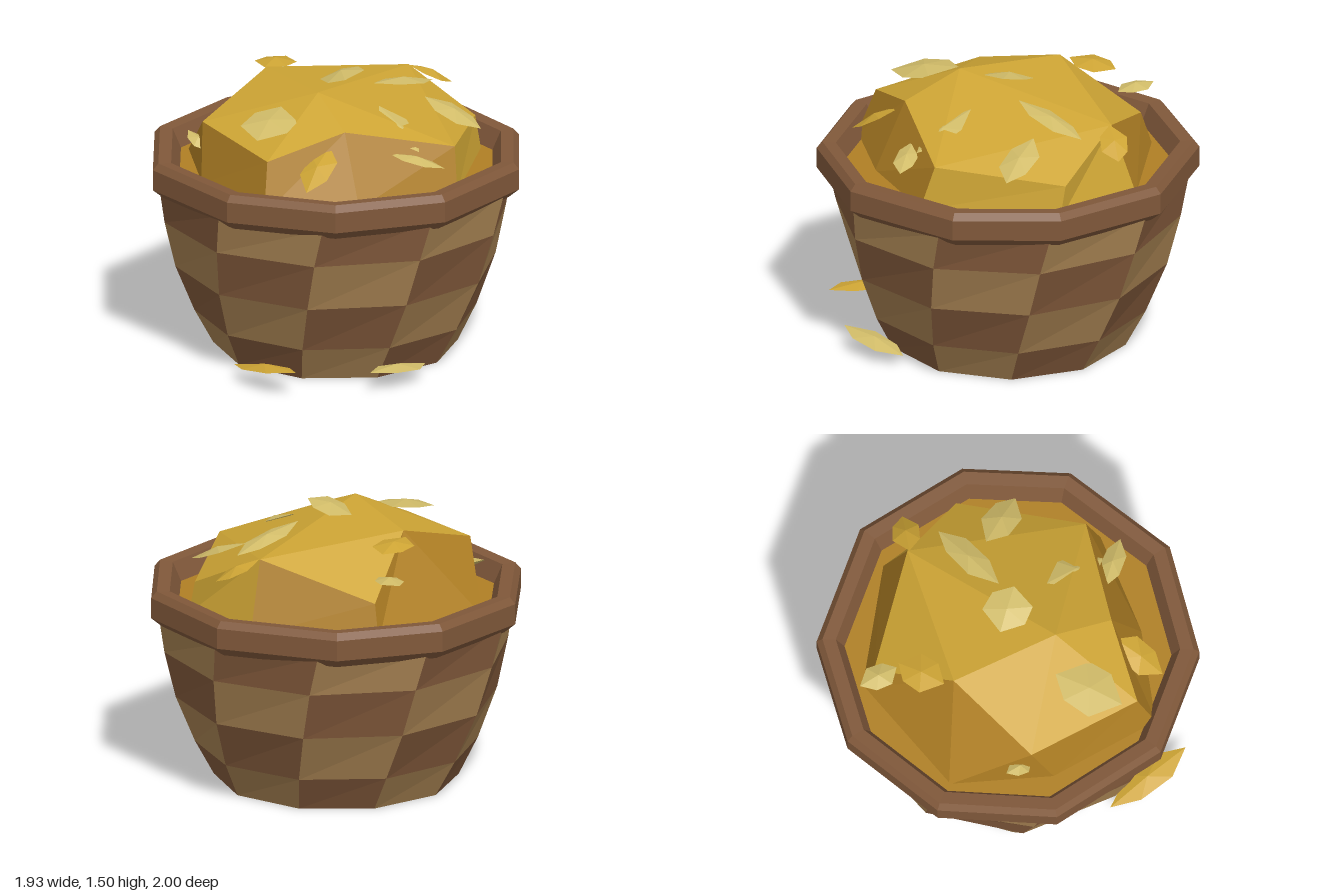
import * as THREE from 'three';

const SIDES = 10;
const paint = (name, color, flat = true) =>
  Object.assign(new THREE.MeshStandardMaterial({ color, flatShading: flat, side: THREE.DoubleSide }), { name });

// Flat-faced mesh from a list of triangles, each three [x, y, z] corners
function facets(name, tris, material) {
  const geo = new THREE.BufferGeometry();
  geo.setAttribute('position', new THREE.Float32BufferAttribute(tris.flat(2), 3));
  geo.computeVertexNormals();
  const mesh = new THREE.Mesh(geo, material);
  mesh.name = name;
  return mesh;
}

const quad = (a, b, c, d) => [[a, b, c], [a, c, d]];

// Point on a ring; the angle is in degrees from the front towards +x
function polar(r, y, deg) {
  const a = THREE.MathUtils.degToRad(deg);
  return [r * Math.sin(a), y, r * Math.cos(a)];
}

// Thin folded leaf between two tips
function leaf(name, from, to, width, material) {
  const a = new THREE.Vector3(...from), b = new THREE.Vector3(...to);
  const dir = b.clone().sub(a);
  const side = dir.clone().cross(new THREE.Vector3(0, 1, 0)).normalize();
  const up = side.clone().cross(dir).normalize();
  const at = (t, s, h = 0) =>
    a.clone().addScaledVector(dir, t).addScaledVector(side, s * width).addScaledVector(up, h).toArray();
  const outline = [at(0, 0), at(0.3, 0.45), at(0.7, 0.5), at(1, 0), at(0.75, -0.4), at(0.35, -0.5)];
  const tris = [];
  for (const h of [0.025, -0.01]) {
    const mid = at(0.5, 0, h);
    outline.forEach((p, i) => {
      const q = outline[(i + 1) % outline.length];
      tris.push(h > 0 ? [p, q, mid] : [q, p, mid]);
    });
  }
  return facets(name, tris, material);
}

export function createModel() {
  const model = new THREE.Group();
  model.name = 'basket';
  const brown = paint('darkWicker', 0x80583a);
  const tan = paint('lightWicker', 0xa37f50);
  const straw = paint('straw', 0xcda434);
  const amber = paint('deepStraw', 0xaf7f24);
  const pale = paint('paleStraw', 0xd0bb68);

  // Woven body, open below: [radius, height, twist] of each ring
  const rings = [[0.64, 0, 0], [0.74, 0.19, 2.5], [0.845, 0.45, 6], [0.91, 0.71, 9], [0.95, 0.93, 12]];
  const weave = [[], []];
  for (let row = 0; row < rings.length - 1; row++) {
    for (let i = 0; i < SIDES; i++) {
      const corner = (k, j) => polar(rings[k][0], rings[k][1], -18 + 36 * j + rings[k][2]);
      weave[(row + i) % 2].push(...quad(corner(row, i), corner(row, i + 1), corner(row + 1, i + 1), corner(row + 1, i)));
    }
  }
  model.add(facets('lightWeave', weave[0], tan), facets('darkWeave', weave[1], brown));

  // Thick rim with slightly uneven corners
  const rimAngles = [-2, 33, 71.6, 104.5, 141.3, 180, 213.6, 249, 285.4, 323.5];
  const profile = [[0.86, 0.89], [0.94, 0.88], [1, 0.93], [1, 1.04], [0.97, 1.075], [0.9, 1.07], [0.85, 0.96]];
  const rim = [];
  profile.forEach(([r0, y0], k) => {
    const [r1, y1] = profile[(k + 1) % profile.length];
    rimAngles.forEach((a, i) => {
      const b = rimAngles[(i + 1) % SIDES];
      rim.push(...quad(polar(r0, y0, a), polar(r0, y0, b), polar(r1, y1, b), polar(r1, y1, a)));
    });
  });
  model.add(facets('rim', rim, brown));

  // Bed of straw filling the rim
  const bed = rimAngles.map((a, i) => [polar(0.87, 0.97, a), polar(0.87, 0.97, rimAngles[(i + 1) % SIDES]), [0, 0.97, 0]]);
  model.add(facets('strawBed', bed, amber));

  // Lumpy heap: a crown over a steep skirt
  const top = [-0.1, 1.455, 0.25];
  const upper = [
    [-0.7, 1.26, 0.13], [-0.38, 1.22, 0.68], [0.03, 1.33, 0.54], [0.61, 1.2, 0.4],
    [0.74, 1.14, -0.28], [0.4, 1.34, -0.53], [-0.2, 1.15, -0.7], [-0.35, 1.42, -0.28],
  ];
  const lower = [
    [-0.71, 0.96, 0.25], [-0.4, 0.96, 0.78], [0.1, 0.96, 0.7], [0.62, 0.96, 0.48],
    [0.77, 0.96, -0.25], [0.45, 0.96, -0.66], [-0.22, 0.96, -0.76], [-0.76, 0.96, -0.3],
  ];
  const crown = [[0, 1], [1, 2], [2, 3], [3, 5], [5, 7], [7, 0]].map(([i, j]) => [upper[i], upper[j], top]);
  crown.push([upper[3], upper[4], upper[5]], [upper[5], upper[6], upper[7]]);
  const skirt = [];
  upper.forEach((u, i) => {
    const j = (i + 1) % upper.length;
    const faces = quad(lower[i], lower[j], upper[j], u);
    (i === 3 || i === 4 ? crown : skirt).push(...faces);
  });
  model.add(facets('heapCrown', crown, straw), facets('heapSkirt', skirt, amber));

  // Loose leaves on the heap, and two at the foot of the basket
  const leaves = [
    ['topLeaf', [-0.08, 1.43, -0.04], [0.15, 1.5, 0.03], 0.25, pale],
    ['longLeaf', [0.2, 1.4, -0.05], [0.52, 1.31, -0.37], 0.14, pale],
    ['sideLeaf', [0.47, 1.3, -0.12], [0.76, 1.17, 0.03], 0.18, pale],
    ['frontLeaf', [0.22, 1.36, 0.2], [0.42, 1.2, 0.49], 0.17, pale],
    ['lowFrontLeaf', [0.26, 1.2, 0.5], [0.55, 1.14, 0.58], 0.12, pale],
    ['wideLeaf', [-0.43, 1.31, 0.6], [-0.29, 1.38, 0.25], 0.28, pale],
    ['droopingLeaf', [-0.18, 1.09, 0.81], [-0.05, 1.26, 0.56], 0.17, straw],
    ['backLeaf', [-0.36, 1.4, -0.33], [-0.24, 1.38, -0.57], 0.2, straw],
    ['rearLeaf', [-0.33, 1.27, -0.77], [-0.22, 1.26, -0.58], 0.14, pale],
    ['cornerLeaf', [0.4, 1.34, -0.52], [0.63, 1.23, -0.56], 0.15, straw],
    ['edgeLeaf', [-0.77, 1.17, 0], [-0.68, 1.1, 0.13], 0.09, pale],
    ['footLeafRight', [-0.55, 0.06, 0.54], [-0.24, 0.14, 0.93], 0.16, straw],
    ['footLeafLeft', [0.15, 0.11, 0.86], [0.45, 0.06, 0.56], 0.16, pale],
  ];
  for (const args of leaves) model.add(leaf(...args));

  return model;
}
